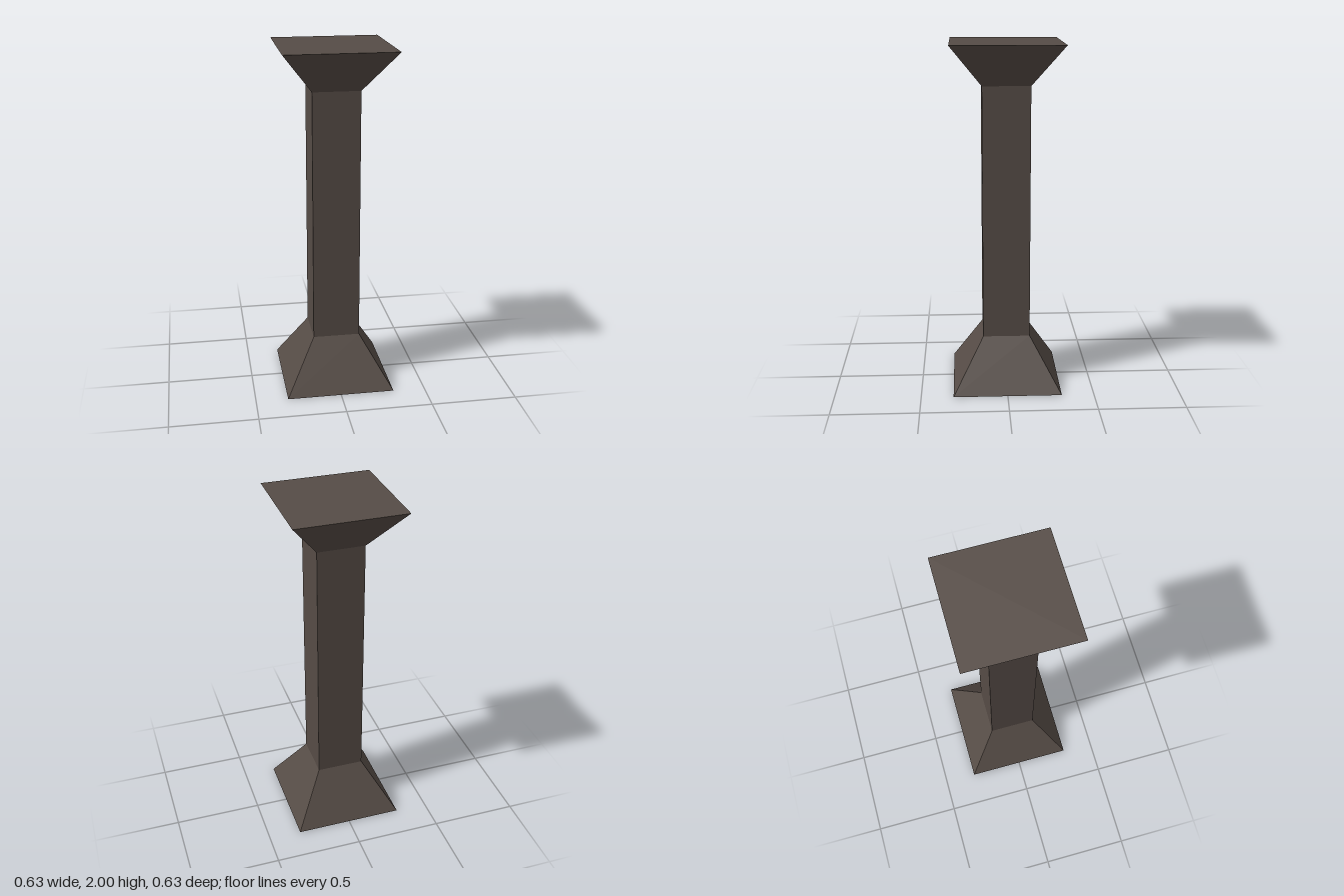
import * as THREE from 'three';

export function createModel() {
  const group = new THREE.Group();
  const stone = new THREE.MeshStandardMaterial({
    name: 'dark stone', color: 0x564c46, flatShading: true, side: THREE.DoubleSide,
  });

  // Four-sided open tube between two heights, with half widths at the top and bottom
  const squareSection = (name, y0, y1, halfBottom, halfTop) => {
    const geometry = new THREE.CylinderGeometry(
      halfTop * Math.SQRT2, halfBottom * Math.SQRT2, y1 - y0, 4, 1, true, Math.PI / 4);
    geometry.translate(0, (y0 + y1) / 2, 0);
    const mesh = new THREE.Mesh(geometry, stone);
    mesh.name = name;
    group.add(mesh);
  };

  squareSection('base', 0, 0.3, 0.313, 0.136);
  squareSection('shaft', 0.3, 1.766, 0.136, 0.136);
  squareSection('capital', 1.766, 2, 0.136, 0.313);

  // Flat slab surface closing the capital; the base stays open underneath
  const top = new THREE.Mesh(new THREE.PlaneGeometry(0.626, 0.626), stone);
  top.name = 'topFace';
  top.rotation.x = -Math.PI / 2;
  top.position.y = 2;
  group.add(top);

  return group;
}
